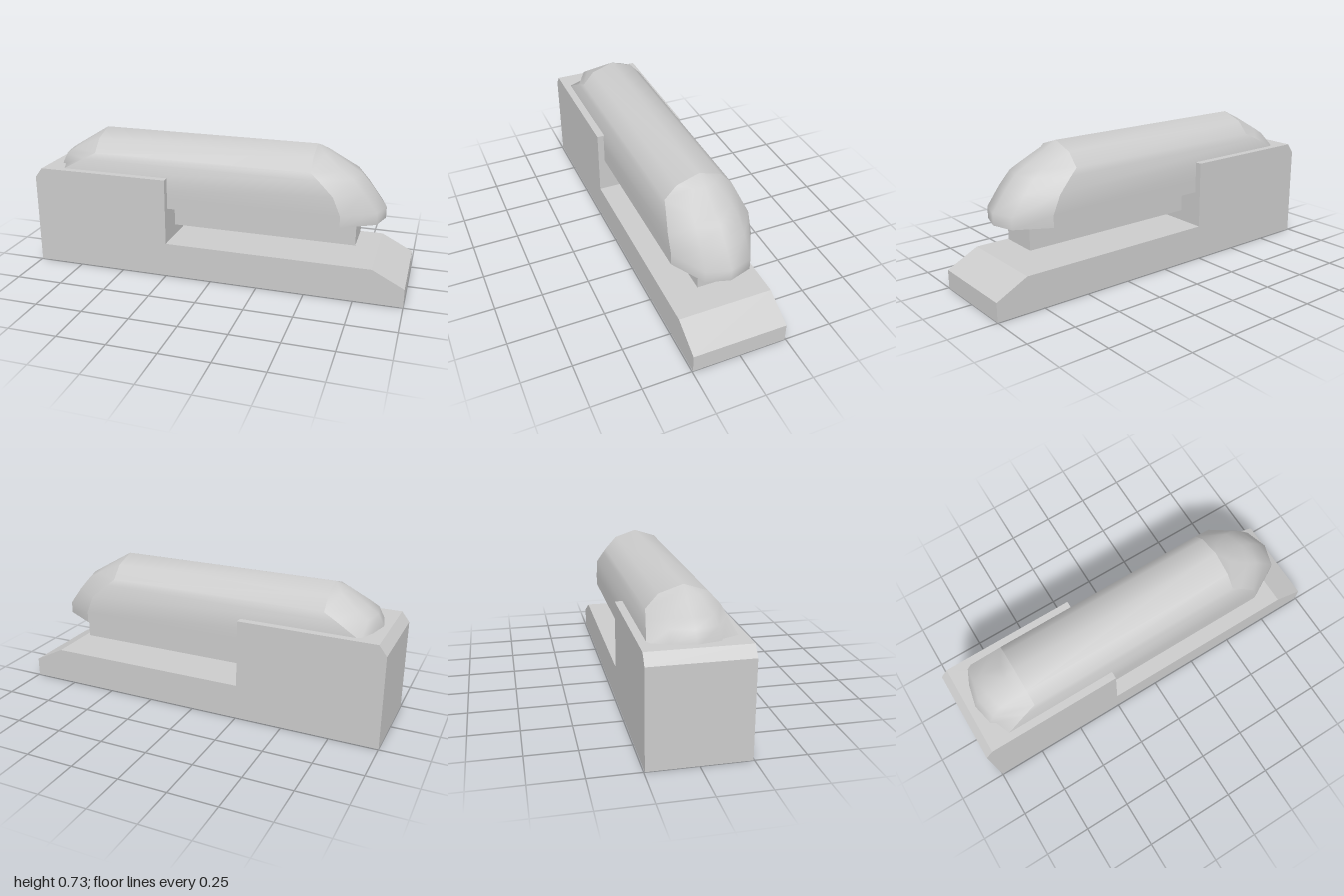
import * as THREE from 'three';
import { mergeVertices } from 'three/addons/utils/BufferGeometryUtils.js';

const material = new THREE.MeshStandardMaterial({ color: 0xcccccc });

// Smooth surface through rows of [x, y, z] points of equal length
function loft(rows) {
  const n = rows[0].length;
  const index = [];
  for (let r = 0; r < rows.length - 1; r++) {
    for (let i = 0; i < n - 1; i++) {
      const a = r * n + i, b = a + 1, d = a + n, c = d + 1;
      index.push(a, b, c, a, c, d);
    }
  }
  const g = new THREE.BufferGeometry();
  g.setAttribute('position', new THREE.Float32BufferAttribute(rows.flat(2), 3));
  g.setIndex(index);
  const merged = mergeVertices(g);
  merged.computeVertexNormals();
  return merged;
}

function add(parent, name, geometry) {
  const mesh = new THREE.Mesh(geometry, material);
  mesh.name = name;
  parent.add(mesh);
  return mesh;
}

// Levels of the capsule body, bottom to top:
// [y, half width, mid half width, nose x: centre, mid, side, tail x: centre, mid, side]
const levels = [
  [0.37, 0.21, 0.115, 0.865, 0.83, 0.66, -0.93, -0.905, -0.87],
  [0.43, 0.21, 0.115, 0.865, 0.83, 0.66, -0.93, -0.905, -0.87],
  [0.525, 0.21, 0.115, 0.795, 0.76, 0.62, -0.93, -0.905, -0.865],
  [0.595, 0.186, 0.11, 0.735, 0.70, 0.54, -0.893, -0.87, -0.735],
  [0.628, 0.175, 0.1, 0.68, 0.645, 0.5, -0.842, -0.82, -0.67],
  [0.695, 0.115, 0.06, 0.565, 0.55, 0.5, -0.732, -0.72, -0.67],
  [0.733, 0, 0, 0.5, 0.5, 0.5, -0.67, -0.67, -0.67],
];

function createBody() {
  const body = new THREE.Group();
  body.name = 'body';

  const noseRows = levels.map(([y, w, m, c, q, s]) =>
    [[s, y, w], [q, y, m], [c, y, 0], [q, y, -m], [s, y, -w]]);
  const tailRows = levels.map(([y, w, m, , , , c, q, s]) =>
    [[s, y, -w], [q, y, -m], [c, y, 0], [q, y, m], [s, y, w]]);
  add(body, 'nose', loft(noseRows));
  add(body, 'tail', loft(tailRows));

  // Arched hull between nose and tail, up one side and down the other
  const arch = (list, sign) => list.map(([y, w, , , , s, , , t]) =>
    [[t, y, sign * w], [s, y, sign * w]]);
  add(body, 'hull', loft([...arch(levels, 1), ...arch(levels.slice(0, -1).reverse(), -1)]));

  // Flat underside
  const outline = [...noseRows[0], ...tailRows[0]];
  const shape = new THREE.Shape(outline.map(([x, , z]) => new THREE.Vector2(x, z)));
  const underside = add(body, 'underside', new THREE.ShapeGeometry(shape));
  underside.rotation.x = Math.PI / 2;
  underside.position.y = levels[0][0];
  return body;
}

export function createModel() {
  const model = new THREE.Group();
  model.name = 'model';

  // Stepped base with a bevelled back and a sloping front lip
  const profile = [
    [-1, 0], [1, 0], [1, 0.098], [0.835, 0.183], [-0.25, 0.183],
    [-0.25, 0.537], [-0.96, 0.537], [-1, 0.485],
  ];
  const baseShape = new THREE.Shape(profile.map(([x, y]) => new THREE.Vector2(x, y)));
  const base = new THREE.ExtrudeGeometry(baseShape, { depth: 0.49, bevelEnabled: false });
  base.translate(0, 0, -0.245);
  add(model, 'base', base);

  // Narrow rail under the body
  const rail = add(model, 'rail', new THREE.BoxGeometry(1.03, 0.14, 0.204));
  rail.position.set(0.215, 0.31, 0);

  model.add(createBody());
  return model;
}
